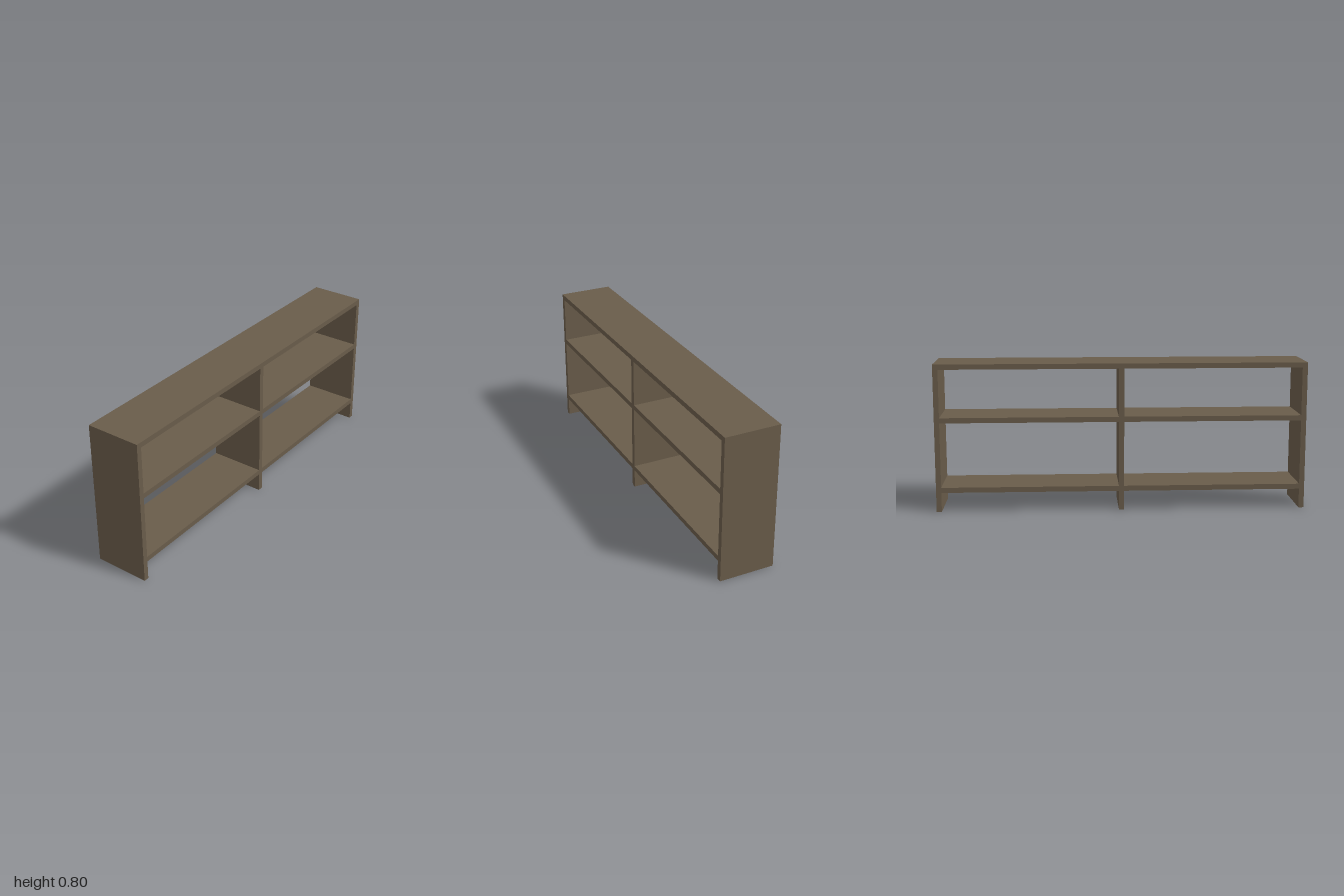
import * as THREE from 'three';

const WIDTH = 2, HEIGHT = 0.8, DEPTH = 0.3, BOARD = 0.028;

export function createModel() {
  const model = new THREE.Group();
  model.name = 'openShelf';
  const wood = new THREE.MeshStandardMaterial({ color: 0x695c4a });
  wood.name = 'brownWood';

  const board = (name, w, h, x, y) => {
    const mesh = new THREE.Mesh(new THREE.BoxGeometry(w, h, DEPTH), wood);
    mesh.name = name;
    mesh.position.set(x, y, 0);
    model.add(mesh);
  };

  // Top board across the full width
  board('topBoard', WIDTH, BOARD, 0, HEIGHT - BOARD / 2);

  // Side panels and central divider stand on the floor under the top
  const panelHeight = HEIGHT - BOARD;
  const sideX = (WIDTH - BOARD) / 2;
  board('leftPanel', BOARD, panelHeight, sideX, panelHeight / 2);
  board('rightPanel', BOARD, panelHeight, -sideX, panelHeight / 2);
  board('centreDivider', BOARD, panelHeight, 0, panelHeight / 2);

  // Two shelves in each bay, fitted between the uprights
  const bayWidth = sideX - BOARD;
  for (const [side, sign] of [['left', 1], ['right', -1]]) {
    board(side + 'LowerShelf', bayWidth, BOARD, sign * sideX / 2, 0.119);
    board(side + 'UpperShelf', bayWidth, BOARD, sign * sideX / 2, 0.499);
  }

  return model;
}
